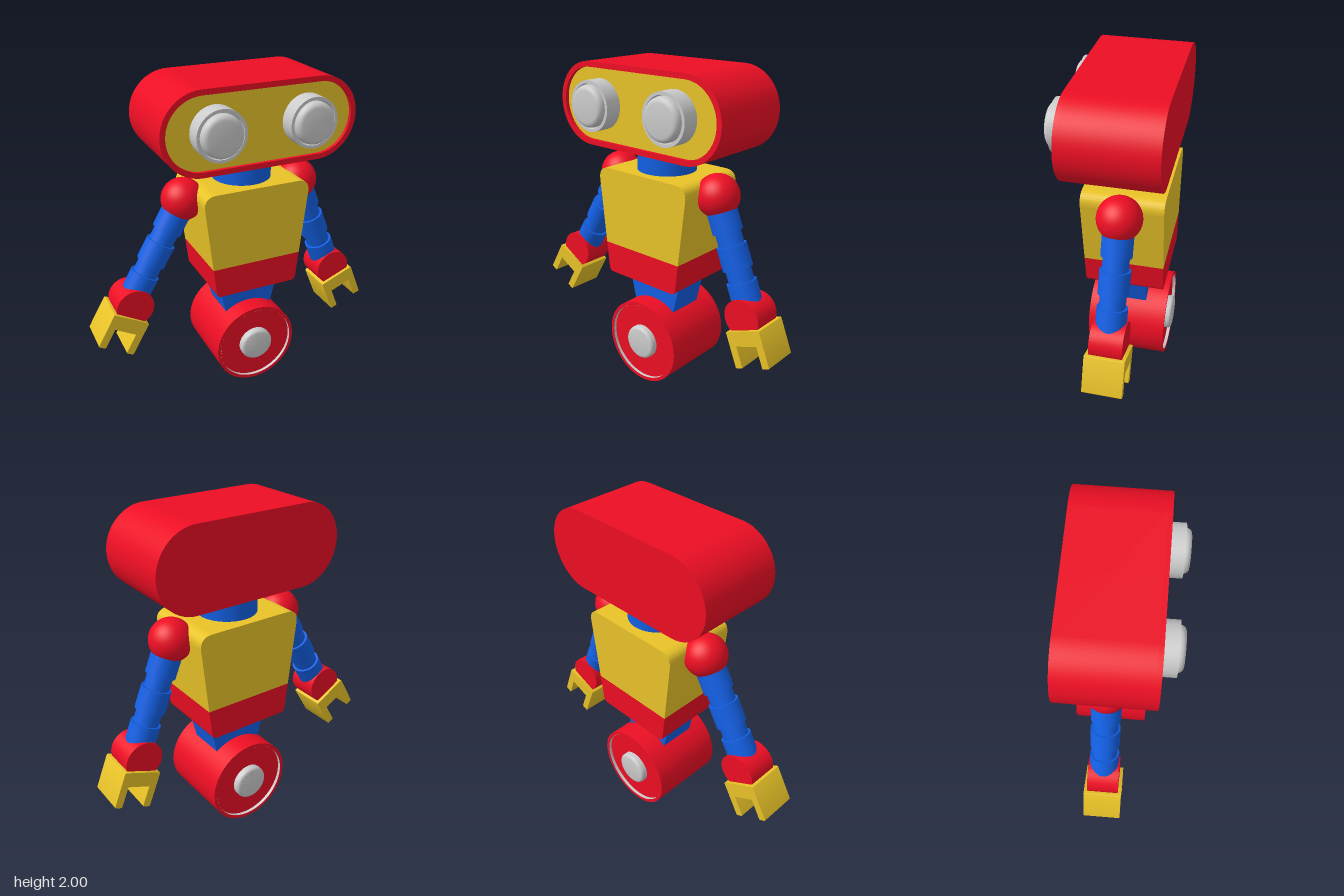
import * as THREE from 'three';
import { toCreasedNormals } from 'three/addons/utils/BufferGeometryUtils.js';

const mat = (color) => new THREE.MeshStandardMaterial({ color });
const RED = mat(0xed0e24), YELLOW = mat(0xe9c328), BLUE = mat(0x135fe3), GREY = mat(0xcccccc);
const LINER = new THREE.MeshStandardMaterial({ color: 0xcccccc, side: THREE.DoubleSide });
const CX = 0.06, CZ = -0.06; // body axis

function add(parent, name, geometry, material, x = 0, y = 0, z = 0) {
  const mesh = new THREE.Mesh(geometry, material);
  mesh.name = name;
  mesh.position.set(x, y, z);
  parent.add(mesh);
  return mesh;
}

// Outline with rounded corners from [x, y, radius] points
function roundedShape(points) {
  const shape = new THREE.Shape();
  const n = points.length;
  points.forEach(([x, y, r], i) => {
    const p = new THREE.Vector2(x, y);
    const toward = ([a, b]) => p.clone().add(new THREE.Vector2(a - x, b - y).setLength(r));
    const start = toward(points[(i + n - 1) % n]), end = toward(points[(i + 1) % n]);
    if (i) shape.lineTo(start.x, start.y); else shape.moveTo(start.x, start.y);
    if (r > 0) shape.quadraticCurveTo(x, y, end.x, end.y);
  });
  shape.closePath();
  return shape;
}

// Stadium outline: straight half-length a, end radius r
function stadium(a, r) {
  const shape = new THREE.Shape();
  shape.absarc(a, 0, r, -Math.PI / 2, Math.PI / 2);
  shape.absarc(-a, 0, r, Math.PI / 2, Math.PI * 1.5);
  shape.closePath();
  return shape;
}

function extrude(shape, z0, z1) {
  const g = new THREE.ExtrudeGeometry(shape, { depth: z1 - z0, bevelEnabled: false, curveSegments: 32 });
  return toCreasedNormals(g.translate(0, 0, z0), 0.6);
}

// Turned part with its axis along z; profile of [radius, z]
function turned(profile) {
  const g = new THREE.LatheGeometry(profile.map(([r, z]) => new THREE.Vector2(r, z)), 64);
  return toCreasedNormals(g.rotateX(Math.PI / 2), 0.6);
}

// Quarter-round edge for a turned profile
const roundEdge = (r, z, b) => [0, 1, 2, 3, 4].map((i) => {
  const t = (i / 4) * Math.PI / 2;
  return [r - b + b * Math.cos(t), z - b + b * Math.sin(t)];
});

function buildHead() {
  const head = new THREE.Group();
  head.name = 'head';
  head.position.set(CX, 1.755, 0);
  const a = 0.357, r = 0.245;
  add(head, 'headShell', extrude(stadium(a, r), -0.313, 0.2), RED);
  const rim = stadium(a, r);
  rim.holes.push(stadium(a, r - 0.032));
  add(head, 'headRim', extrude(rim, 0.2, 0.225), RED);
  add(head, 'facePanel', extrude(stadium(a, r - 0.031), 0.19, 0.203), YELLOW);
  // Stepped lens: housing, groove and rounded glass
  const eye = turned([[0.148, 0.19], [0.148, 0.305], [0.13, 0.305], [0.126, 0.285], [0.122, 0.285],
    ...roundEdge(0.122, 0.337, 0.03), [0, 0.337]]);
  for (const s of [-1, 1]) add(head, s > 0 ? 'leftEye' : 'rightEye', eye, GREY, s * 0.28, 0.005, 0);
  return head;
}

function buildTorso() {
  const torso = new THREE.Group();
  torso.name = 'torso';
  torso.position.set(CX, 0, CZ);
  const split = 0.885, wTop = 0.347, wMid = 0.291, wLow = 0.269;
  add(torso, 'neck', new THREE.CylinderGeometry(0.18, 0.18, 0.2, 48), BLUE, 0, 1.44, 0);
  add(torso, 'chest', extrude(roundedShape([[-wMid, split, 0], [wMid, split, 0],
    [wTop, 1.37, 0.085], [-wTop, 1.37, 0.085]]), -0.238, 0.238), YELLOW);
  add(torso, 'belly', extrude(roundedShape([[-wLow, 0.692, 0.03], [wLow, 0.692, 0.03],
    [wMid, split, 0], [-wMid, split, 0]]), -0.238, 0.238), RED);
  add(torso, 'waist', extrude(roundedShape([[-0.125, 0.35, 0], [0.125, 0.35, 0],
    [0.209, 0.7, 0], [-0.209, 0.7, 0]]), -0.117, 0.117), BLUE);
  return torso;
}

function buildWheel() {
  const wheel = new THREE.Group();
  wheel.name = 'wheel';
  wheel.position.set(CX, 0.272, -0.066);
  const R = 0.27, r = 0.249, h = 0.243, d = h - 0.022;
  add(wheel, 'drum', turned([[0, -d], [r, -d], [r, -h], [R, -h], [R, h], [r, h], [r, d], [0, d]]), RED);
  const liner = new THREE.CylinderGeometry(r - 0.001, r - 0.001, h - d - 0.002, 64, 1, true).rotateX(Math.PI / 2);
  const hub = turned([[0.108, 0.2], ...roundEdge(0.108, 0.266, 0.02), [0, 0.266]]);
  for (const s of [-1, 1]) {
    add(wheel, 'rimLiner', liner, LINER, 0, 0, s * (h + d) / 2);
    add(wheel, 'hubCap', hub, GREY).rotation.y = s > 0 ? 0 : Math.PI;
  }
  return wheel;
}

// Arm hangs along -y from the shoulder, then swings outward
function buildArm(side, angle) {
  const arm = new THREE.Group();
  arm.name = side > 0 ? 'leftArm' : 'rightArm';
  arm.position.set(CX + side * 0.385, 1.28, CZ);
  arm.rotation.z = side * angle;
  add(arm, 'shoulder', new THREE.SphereGeometry(0.13, 48, 32), RED);
  // Alternating wide and narrow sleeves
  const cuts = [0.05, 0.215, 0.295, 0.437, 0.517, 0.66];
  for (let i = 0; i < 5; i++) {
    const rad = i % 2 ? 0.076 : 0.09;
    add(arm, 'armSleeve', new THREE.CylinderGeometry(rad, rad, cuts[i + 1] - cuts[i], 40),
      BLUE, 0, -(cuts[i] + cuts[i + 1]) / 2, 0);
  }
  const wrist = new THREE.CylinderGeometry(0.117, 0.117, 0.194, 48).rotateX(Math.PI / 2);
  add(arm, 'wrist', wrist, RED, 0, -0.717, 0);
  // U-shaped gripper
  const w = 0.12, t = 0.072, top = -0.066, notch = -0.158, tip = -0.295, e = 0.008;
  const grip = roundedShape([[-w, top, e], [-w, tip, e], [-t, tip, e], [-t, notch, 0],
    [t, notch, 0], [t, tip, e], [w, tip, e], [w, top, e]]);
  add(arm, 'gripper', extrude(grip, -0.118, 0.118), YELLOW, 0, -0.717, 0);
  return arm;
}

export function createModel() {
  const model = new THREE.Group();
  model.name = 'robot';
  model.add(buildHead(), buildTorso(), buildWheel(), buildArm(1, 0.38), buildArm(-1, 0.527));
  return model;
}
